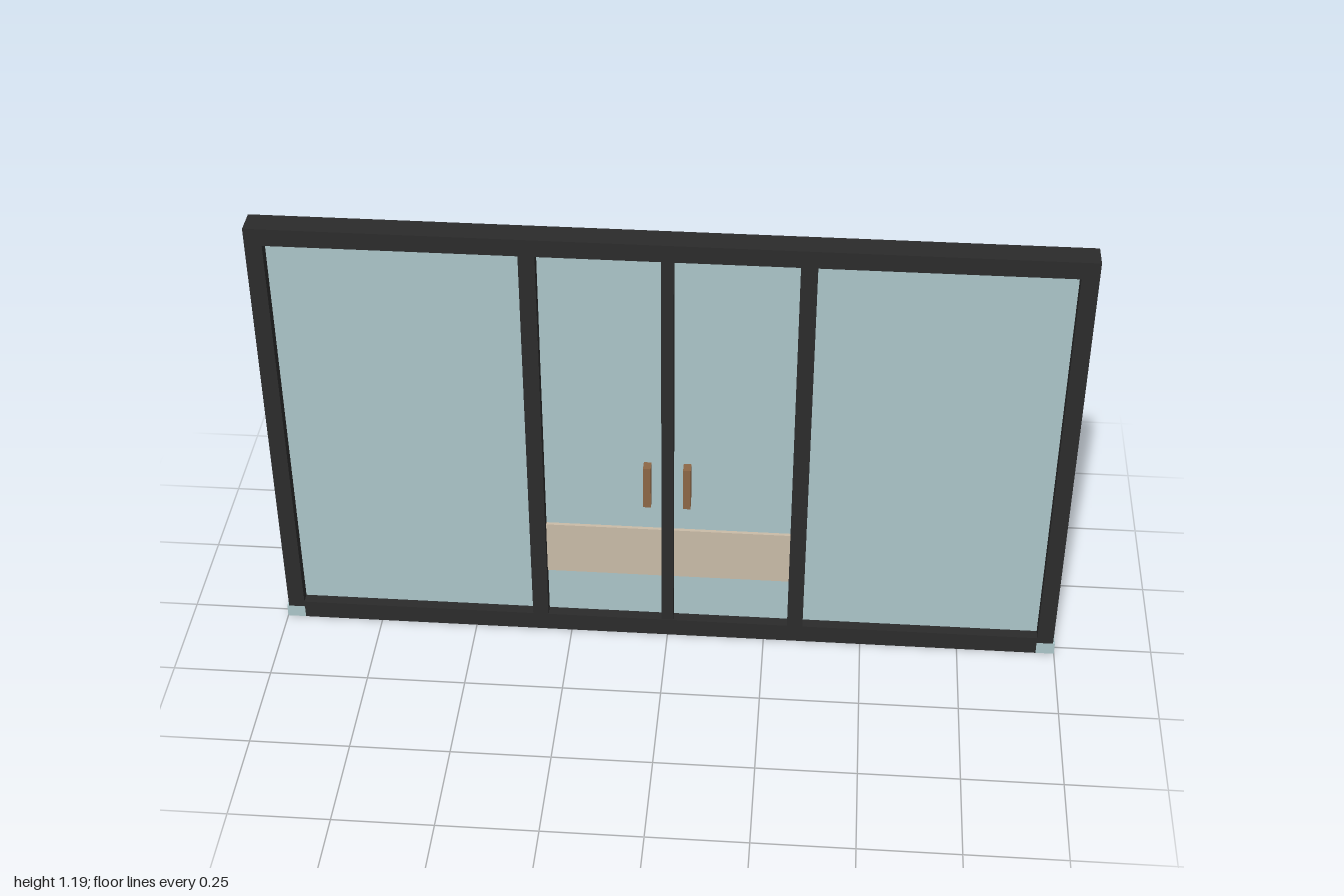
import * as THREE from 'three';

export function createModel() {
  const model = new THREE.Group();
  const material = (name, color) => {
    const m = new THREE.MeshStandardMaterial({ color });
    m.name = name;
    return m;
  };
  const frameMat = material('charcoal frame', 0x2b2b2b);
  const glassMat = material('pale glass', 0xabc5c9);
  const bandMat = material('beige band', 0xc9bba7);
  const handleMat = material('bronze handle', 0x8c6645);

  // Box given by its extents on each axis
  const box = (name, mat, [x0, x1], [y0, y1], [z0, z1]) => {
    const mesh = new THREE.Mesh(new THREE.BoxGeometry(x1 - x0, y1 - y0, z1 - z0), mat);
    mesh.position.set((x0 + x1) / 2, (y0 + y1) / 2, (z0 + z1) / 2);
    mesh.name = name;
    model.add(mesh);
  };
  const depth = [-0.04, 0.025];
  const opening = [0.05, 1.145];

  // Head, sill and centre stile
  box('topRail', frameMat, [-0.995, 0.995], [1.145, 1.19], depth);
  box('bottomRail', frameMat, [-0.953, 0.953], [0, 0.05], depth);
  box('centreStile', frameMat, [-0.015, 0.015], opening, [-0.038, 0.023]);

  // Mirrored halves
  for (const [side, s] of [['left', 1], ['right', -1]]) {
    const span = (a, b) => (s > 0 ? [a, b] : [-b, -a]);
    box(side + 'Post', frameMat, span(0.953, 0.995), [0.034, 1.145], depth);
    box(side + 'Mullion', frameMat, span(0.31, 0.35), opening, depth);
    box(side + 'CornerFoot', glassMat, span(0.953, 1), [0, 0.034], depth);
    box(side + 'FixedGlass', glassMat, span(0.35, 0.953), opening, [-0.013, -0.003]);
    box(side + 'DoorGlass', glassMat, span(0.015, 0.31), opening, [-0.013, -0.003]);
    box(side + 'DoorBand', bandMat, span(0.015, 0.31), [0.183, 0.333], [-0.003, 0.006]);
    box(side + 'Handle', handleMat, span(0.04, 0.059), [0.432, 0.552], [0.014, 0.042]);
  }
  return model;
}
